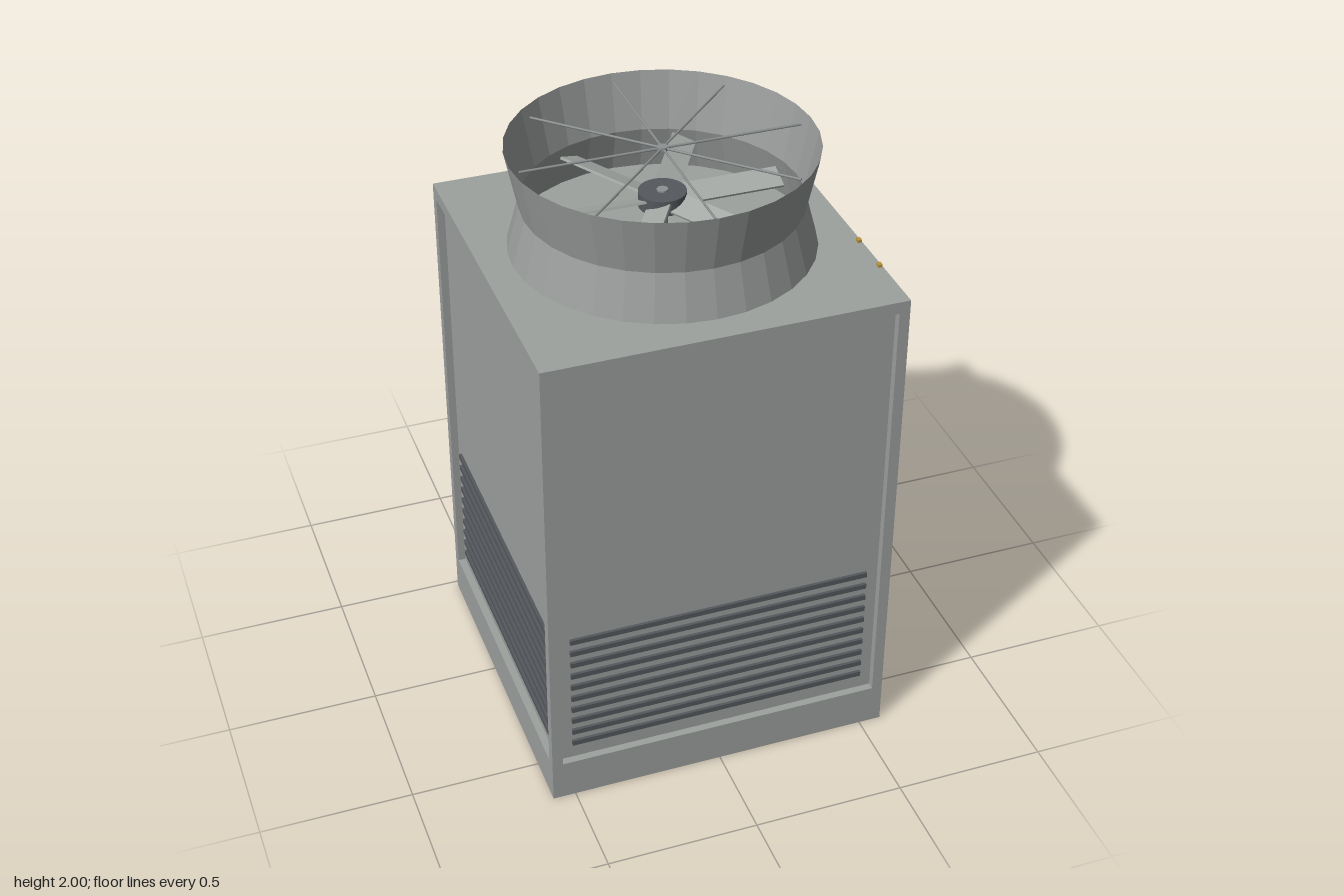
import * as THREE from 'three';

const CZ = 0.095;      // depth centre of the housing
const HALF = 0.575;    // half width of the housing
const TOP = 1.66;      // deck height
const RECESS = 0.025;  // panel recess depth

export function createModel() {
  const model = new THREE.Group();
  model.name = 'coolingTower';

  const flat = (name, color, extra = {}) => {
    const m = new THREE.MeshStandardMaterial({ color, ...extra });
    m.name = name;
    return m;
  };
  const grey = flat('housingGrey', 0x9da19e);
  const stackGrey = flat('stackGrey', 0x9a9d9c, { side: THREE.DoubleSide, flatShading: true });
  const dark = flat('louverDark', 0x55595d);
  const steel = flat('steelGrey', 0x8d9192);
  const bladeGrey = flat('bladeGrey', 0xa5aaa6);
  const yellow = flat('ladderYellow', 0xb8963a);

  const add = (parent, name, geo, mat, x = 0, y = 0, z = 0) => {
    const mesh = new THREE.Mesh(geo, mat);
    mesh.name = name;
    mesh.position.set(x, y, z);
    parent.add(mesh);
    return mesh;
  };
  const box = (w, h, d) => new THREE.BoxGeometry(w, h, d);
  const rod = (r, l, n = 12) => new THREE.CylinderGeometry(r, r, l, n);

  const body = new THREE.Group();
  body.name = 'housing';
  body.position.z = CZ;
  model.add(body);

  // Core whose faces are the recessed panels
  const inner = HALF - RECESS;
  add(body, 'core', box(inner * 2, TOP, inner * 2), grey, 0, TOP / 2, 0);

  // Frame around each panel, with louvers
  const frameGeo = (w) => {
    const s = new THREE.Shape([[-w, 0], [w, 0], [w, TOP], [-w, TOP]].map(p => new THREE.Vector2(...p)));
    s.holes.push(new THREE.Path([[-0.54, 0.14], [-0.54, 1.62], [0.54, 1.62], [0.54, 0.14]]
      .map(p => new THREE.Vector2(...p))));
    return new THREE.ExtrudeGeometry(s, { depth: RECESS, bevelEnabled: false });
  };
  ['front', 'left', 'back', 'right'].forEach((label, i) => {
    const side = new THREE.Group();
    side.name = label + 'Side';
    side.rotation.y = i * Math.PI / 2;
    body.add(side);
    add(side, 'panelFrame', frameGeo(i % 2 ? inner : HALF), grey, 0, 0, inner);
    for (let k = 0; k < 10; k++) {
      add(side, 'louverSlat', box(1, 0.018, 0.02), dark, 0, 0.204 + k * 0.0467, inner);
    }
    if (label === 'back') add(side, 'namePlate', box(0.31, 0.11, 0.008), grey, 0, 1.065, inner + 0.004);
  });

  // Flared fan stack
  const fan = new THREE.Group();
  fan.name = 'fanAssembly';
  fan.position.z = CZ;
  model.add(fan);
  const profile = [[0.48, TOP], [0.44, 1.81], [0.48, 2]].map(p => new THREE.Vector2(...p));
  add(fan, 'fanStack', new THREE.LatheGeometry(profile, 32), stackGrey);

  // Hub, shaft and pitched blades
  add(fan, 'fanHub', rod(0.075, 0.05, 24), dark, 0, 1.81, 0);
  add(fan, 'fanShaft', rod(0.018, 0.18), steel, 0, 1.75, 0);
  for (let i = 0; i < 6; i++) {
    const arm = new THREE.Group();
    arm.name = 'bladeArm';
    arm.rotation.y = i * Math.PI / 3;
    fan.add(arm);
    add(arm, 'fanBlade', box(0.325, 0.008, 0.08), bladeGrey, 0.2225, 1.81, 0).rotation.x = 0.35;
  }

  // Guard spokes across the stack mouth
  add(fan, 'guardBoss', rod(0.017, 0.012), steel, 0, 1.98, 0);
  for (let i = 0; i < 4; i++) {
    const spoke = add(fan, 'guardSpoke', rod(0.004, 0.9, 6), steel, 0, 1.98, 0);
    spoke.rotation.set(0, i * Math.PI / 4, Math.PI / 2);
  }

  // Access ladder
  const ladder = new THREE.Group();
  ladder.name = 'ladder';
  ladder.position.set(0.566, 0, 0.385);
  model.add(ladder);
  for (const s of [-1, 1]) add(ladder, 'ladderRail', box(0.013, 1.53, 0.017), yellow, 0, 0.905, s * 0.077);
  for (let i = 0; i < 13; i++) {
    add(ladder, 'ladderRung', rod(0.005, 0.154, 8), yellow, 0, 0.16 + i * 0.1157, 0).rotation.x = Math.PI / 2;
  }

  // Flanged water pipes at the back
  for (const s of [-1, 1]) {
    add(model, 'waterPipe', rod(0.019, 0.22, 20), grey, s * 0.192, 0.234, -0.555).rotation.x = Math.PI / 2;
    add(model, 'pipeFlange', rod(0.04, 0.013, 24), grey, s * 0.192, 0.234, -0.6635).rotation.x = Math.PI / 2;
  }

  return model;
}
